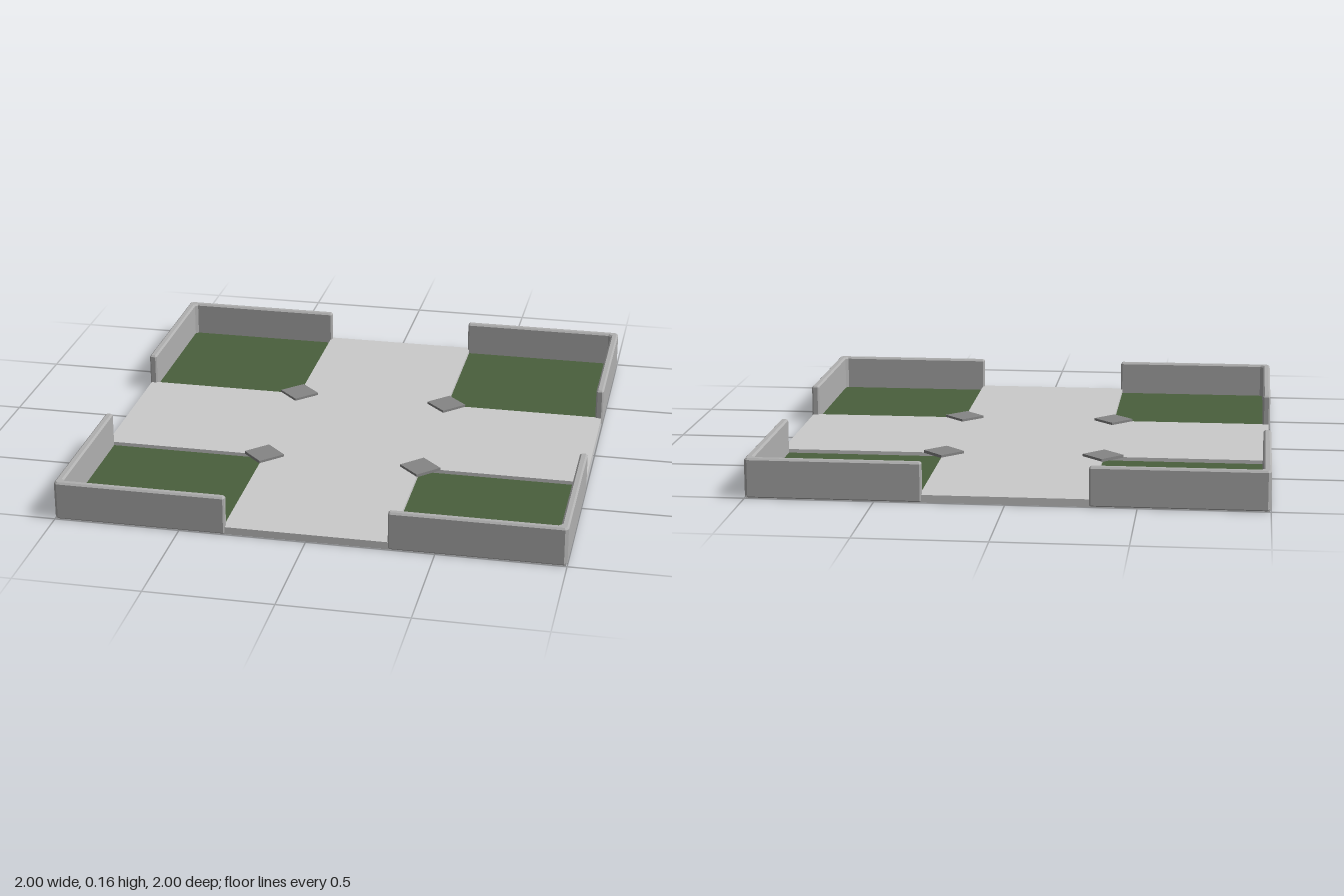
import * as THREE from 'three';

const material = (color) => new THREE.MeshStandardMaterial({ color, flatShading: true });

const INNER = 0.325; // where the cross-shaped paving meets the lawns
const OUTER = 0.995; // edge of the ground slab

function shapeFrom(points) {
  return new THREE.Shape(points.map(([x, y]) => new THREE.Vector2(x, y)));
}

// Extrudes a plan (x, z) upwards from y0 to y1; the plans are symmetric in x and z.
function extrudePlan(points, y0, y1, bevel = 0) {
  const geometry = new THREE.ExtrudeGeometry(shapeFrom(points), {
    depth: y1 - y0 - 2 * bevel,
    bevelEnabled: bevel > 0,
    bevelThickness: bevel,
    bevelSize: bevel,
    bevelOffset: -bevel,
    bevelSegments: 1,
  });
  geometry.rotateX(-Math.PI / 2);
  geometry.translate(0, y0 + bevel, 0);
  return geometry;
}

export function createModel() {
  const group = new THREE.Group();
  const paving = material(0xcccccc);
  const stone = material(0xb0b0b0);
  const cover = material(0x868686);
  const grass = material(0x4a603d);

  const add = (name, geometry, mat, parent = group) => {
    const mesh = new THREE.Mesh(geometry, mat);
    mesh.name = name;
    parent.add(mesh);
    return mesh;
  };

  // Ground slab under everything
  const slab = add('groundSlab', new THREE.BoxGeometry(2 * OUTER, 0.012, 2 * OUTER), paving);
  slab.position.y = 0.006;

  // Raised cross-shaped paving
  const a = INNER, b = OUTER;
  const cross = [
    [a, -b], [a, -a], [b, -a], [b, a], [a, a], [a, b],
    [-a, b], [-a, a], [-b, a], [-b, -a], [-a, -a], [-a, -b],
  ];
  add('crossPaving', extrudePlan(cross, 0.012, 0.03), paving);

  // L-shaped corner wall with chamfered corners
  const end = 0.318, inside = 0.969, c = 0.012, e = 0.006;
  const wallPlan = [
    [end, inside + e], [end + e, inside], [inside - c, inside],
    [inside, inside - c], [inside, end + e], [inside + e, end],
    [1 - e, end], [1, end + e], [1, 1 - c],
    [1 - c, 1], [end + e, 1], [end, 1 - e],
  ];
  const wallGeometry = extrudePlan(wallPlan.reverse(), 0, 0.157, 0.007);
  const lawnSize = 0.98 - INNER;
  const lawnGeometry = new THREE.BoxGeometry(lawnSize, 0.005, lawnSize);
  const plateGeometry = new THREE.BoxGeometry(0.117, 0.012, 0.117);

  // Four identical corners: wall, sunken lawn and diamond plate
  for (let i = 0; i < 4; i++) {
    const corner = new THREE.Group();
    corner.name = 'corner' + (i + 1);
    corner.rotation.y = (i * Math.PI) / 2;
    group.add(corner);

    add('cornerWall', wallGeometry, stone, corner);

    const lawn = add('lawn', lawnGeometry, grass, corner);
    lawn.position.set(INNER + lawnSize / 2, 0.0125, -INNER - lawnSize / 2);

    const plate = add('diamondPlate', plateGeometry, cover, corner);
    plate.position.set(INNER, 0.034, -INNER);
    plate.rotation.y = Math.PI / 4;
  }

  return group;
}
